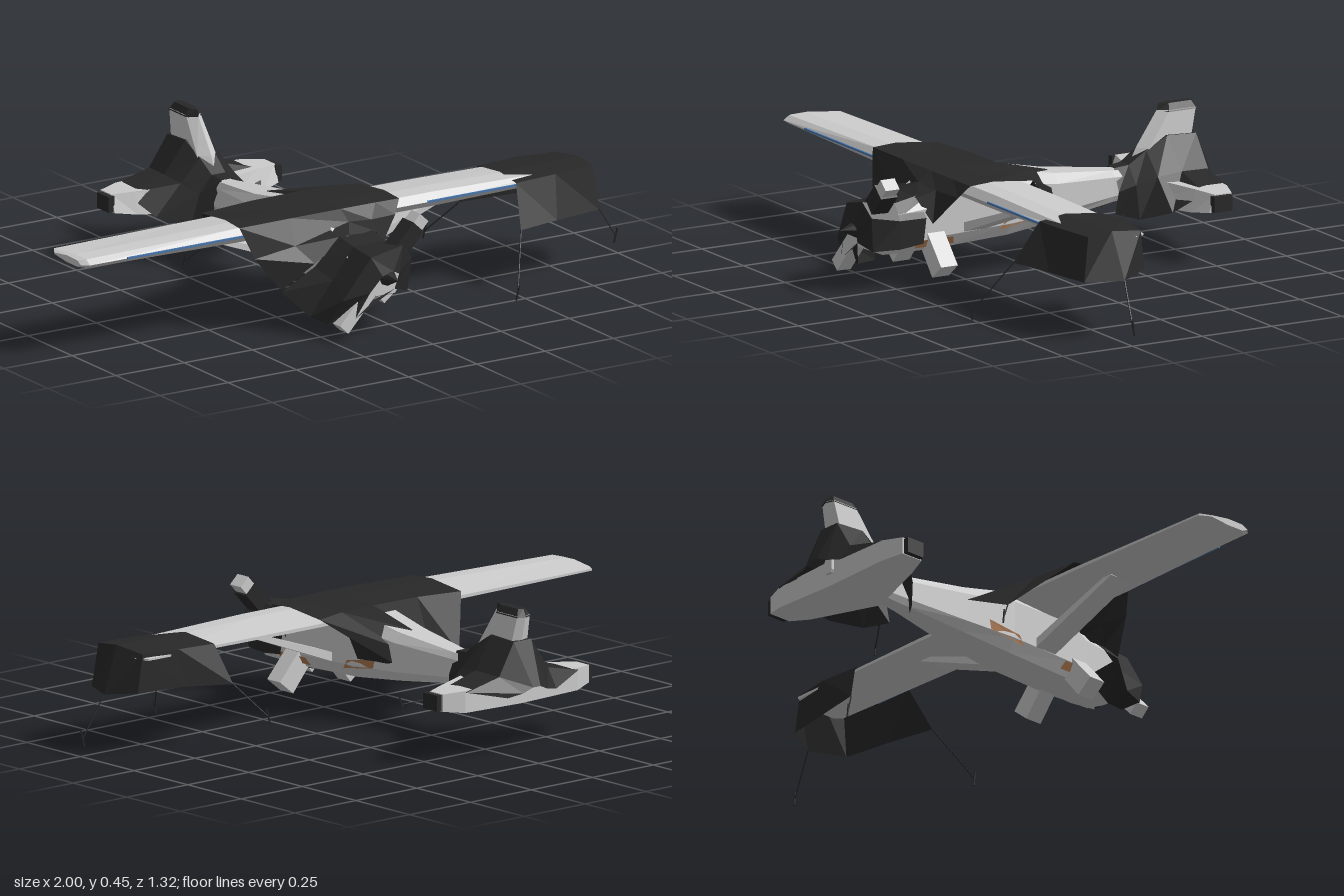
import * as THREE from 'three';

const CX = -0.07; // aircraft centreline
const mat = (color) => new THREE.MeshStandardMaterial({ color, flatShading: true, side: THREE.DoubleSide });

export function createModel() {
  const model = new THREE.Group();
  const grey = mat(0xcccccc), tarp = mat(0x282828), rust = mat(0xb07a50), blue = mat(0x4a78b0);

  const add = (name, geometry, material, x = 0) => {
    const m = new THREE.Mesh(geometry, material);
    m.name = name;
    m.position.x = x;
    model.add(m);
    return m;
  };

  // Surface through rows of [x, y, z] points; closed rows are capped into a solid
  const skin = (rows, closed = false) => {
    const n = rows[0].length, pos = rows.flat(2), idx = [];
    for (let r = 0; r < rows.length - 1; r++) {
      for (let c = 0; c < (closed ? n : n - 1); c++) {
        const a = r * n + c, b = r * n + (c + 1) % n;
        idx.push(a, b, b + n, a, b + n, a + n);
      }
    }
    if (closed) {
      const last = (rows.length - 1) * n;
      for (let c = 1; c < n - 1; c++) idx.push(0, c + 1, c, last, last + c, last + c + 1);
    }
    const g = new THREE.BufferGeometry();
    g.setAttribute('position', new THREE.Float32BufferAttribute(pos, 3));
    g.setIndex(idx);
    const flat = g.toNonIndexed();
    flat.computeVertexNormals();
    return flat;
  };

  // Fuselage: chamfered rectangular sections [z, half width, bottom, top]
  const hull = [
    [0.59, 0.05, 0.13, 0.245], [0.54, 0.08, 0.11, 0.265], [0.4, 0.09, 0.11, 0.28],
    [0.34, 0.09, 0.11, 0.325], [0.1, 0.09, 0.12, 0.325], [-0.08, 0.07, 0.138, 0.29],
    [-0.3, 0.037, 0.165, 0.265], [-0.6, 0.016, 0.19, 0.24],
  ].map(([z, w, b, t]) => {
    const k = w * 0.7, d = (t - b) * 0.2;
    return [[-w, b + d], [-k, b], [k, b], [w, b + d], [w, t - d], [k, t], [-k, t], [-w, t - d]]
      .map(([x, y]) => [x, y, z]);
  });
  add('fuselage', skin(hull, true), grey, CX);

  // Wing: airfoil sections [x, leading z, trailing z, centre y, half thickness]
  const foil = ([x, f, b, y, t]) => [
    [x, y, f], [x, y + t * 0.9, f - 0.02], [x, y + t, f - 0.08], [x, y + t * 0.2, b],
    [x, y - t * 0.2, b], [x, y - t * 0.8, f - 0.08], [x, y - t * 0.8, f - 0.02],
  ];
  add('wing', skin([
    [-0.93, 0.3, 0.15, 0.303, 0.012], [-0.91, 0.32, 0.115, 0.304, 0.016], [-0.36, 0.325, 0.105, 0.305, 0.027],
    [0.36, 0.325, 0.105, 0.305, 0.027], [0.91, 0.32, 0.115, 0.304, 0.016], [0.93, 0.3, 0.15, 0.303, 0.012],
  ].map(foil), true), grey, CX);

  // Paired parts
  for (const s of [1, -1]) {
    const brace = (x, y, z0, z1, t) => [
      [s * x, y - t, z0], [s * x, y - t, z1], [s * x, y + t, z1], [s * x, y + t, z0],
    ];
    add('wingStrut', skin([brace(0.07, 0.165, 0.19, 0.27, 0.015), brace(0.43, 0.295, 0.19, 0.27, 0.008)], true), grey, CX);

    // Landing gear leg
    const leg = (x, y, w) => [
      [s * (x - w), y - w * 0.8, 0.34], [s * (x + w), y + w * 0.8, 0.34],
      [s * (x + w), y + w * 0.8, 0.4], [s * (x - w), y - w * 0.8, 0.4],
    ];
    add('gearLeg', skin([leg(0.05, 0.165, 0.025), leg(0.145, 0.055, 0.027)], true), grey, CX);

    // Tailplane half
    const tail = (x, f, b, lo, hi) => [[s * x, lo, f], [s * x, hi, f - 0.02], [s * x, hi, b], [s * x, lo, b]];
    add('tailplane', skin([
      tail(0, -0.38, -0.59, 0.15, 0.235), tail(0.23, -0.46, -0.59, 0.155, 0.225), tail(0.3, -0.485, -0.565, 0.165, 0.22),
    ], true), grey, CX);
    add('tailplaneTip', new THREE.BoxGeometry(0.022, 0.05, 0.065), tarp, CX + s * 0.307).position.set(CX + s * 0.307, 0.192, -0.525);

    // Painted stripes
    add('wingStripe', new THREE.BoxGeometry(0.45, 0.006, 0.006), blue).position.set(CX + s * 0.55, 0.306, 0.324);
    add('rearStripe', skin([
      [[s * 0.088, 0.145, 0.14], [s * 0.081, 0.165, 0.01]], [[s * 0.092, 0.175, 0.12], [s * 0.084, 0.195, 0.0]],
    ]), rust, CX);
    add('noseStripe', skin([
      [[s * 0.08, 0.123, 0.3], [s * 0.08, 0.123, 0.44]], [[s * 0.094, 0.148, 0.31], [s * 0.093, 0.148, 0.44]],
    ]), rust, CX);
  }

  // Fin
  const finRow = (y, f, b, w) => [[0, y, f], [w, y, f - 0.03], [w, y, b + 0.01], [0, y, b], [-w, y, b + 0.01], [-w, y, f - 0.03]];
  add('fin', skin([finRow(0.2, -0.34, -0.58, 0.035), finRow(0.32, -0.4, -0.585, 0.034),
    finRow(0.43, -0.475, -0.61, 0.026)], true), grey, CX);
  add('finCap', skin([finRow(0.425, -0.473, -0.612, 0.028), finRow(0.45, -0.48, -0.6, 0.014)], true), tarp, CX);

  // Propeller and spinner
  const prop = new THREE.Group();
  prop.name = 'propeller';
  prop.position.set(-0.075, 0.197, 0.565);
  prop.rotation.z = -0.75;
  const blade = (name, len, w, d, y, m) => {
    const b = new THREE.Mesh(new THREE.BoxGeometry(w, len, d), m);
    b.name = name;
    b.position.y = y;
    prop.add(b);
  };
  blade('blades', 0.43, 0.042, 0.05, 0, grey);
  blade('bladeSleeve', 0.14, 0.054, 0.06, 0.11, tarp);
  model.add(prop);
  const spinner = add('spinner', new THREE.ConeGeometry(0.03, 0.06, 8), tarp);
  spinner.rotation.x = Math.PI / 2;
  spinner.position.set(CX, 0.19, 0.63);

  // Cabin cover: rear flap, flat top over the wing, front drape
  add('cabinCover', skin([
    [[-0.29, 0.18, -0.05], [-0.14, 0.24, -0.08], [-0.07, 0.292, -0.082], [-0.02, 0.24, -0.078], [0, 0.195, -0.07]],
    [[-0.43, 0.325, 0.1], [-0.25, 0.335, 0.1], [-0.07, 0.337, 0.1], [0.06, 0.335, 0.1], [0.15, 0.325, 0.1]],
    [[-0.433, 0.34, 0.24], [-0.25, 0.34, 0.24], [-0.07, 0.342, 0.24], [0.06, 0.34, 0.24], [0.15, 0.34, 0.24]],
    [[-0.435, 0.335, 0.325], [-0.25, 0.338, 0.33], [-0.07, 0.34, 0.335], [0.06, 0.338, 0.33], [0.15, 0.335, 0.325]],
    [[-0.395, 0.235, 0.35], [-0.26, 0.26, 0.37], [-0.07, 0.31, 0.38], [0.02, 0.3, 0.37], [0.12, 0.295, 0.35]],
    [[-0.32, 0.13, 0.385], [-0.22, 0.21, 0.42], [-0.1, 0.285, 0.43], [0, 0.28, 0.43], [0.035, 0.2, 0.39]],
  ]), tarp);
  // Tucked side flaps below the wing
  add('cabinSideFlap', skin([
    [[0.15, 0.325, 0.1], [0.06, 0.27, 0.07], [0.03, 0.19, 0.06]], [[0.06, 0.27, 0.02], [0.035, 0.23, 0], [0.01, 0.19, -0.01]],
    [[0, 0.195, -0.07], [0.002, 0.195, -0.065], [0.004, 0.19, -0.05]],
  ]), tarp);

  // Engine cover sagging over the lower blade
  add('engineCover', skin([
    [[-0.32, 0.125, 0.385], [-0.22, 0.2, 0.42], [-0.13, 0.283, 0.42], [-0.01, 0.285, 0.42], [0.03, 0.22, 0.41], [0.03, 0.14, 0.42]],
    [[-0.27, 0.06, 0.47], [-0.2, 0.17, 0.49], [-0.13, 0.27, 0.5], [-0.01, 0.27, 0.5], [0.025, 0.22, 0.5], [0.025, 0.13, 0.5]],
    [[-0.25, 0.05, 0.54], [-0.22, 0.13, 0.58], [-0.13, 0.26, 0.6], [-0.02, 0.285, 0.61], [0.02, 0.24, 0.6], [0.01, 0.13, 0.59]],
    [[-0.18, 0.07, 0.59], [-0.14, 0.15, 0.61], [-0.1, 0.2, 0.62], [-0.06, 0.21, 0.62], [-0.04, 0.2, 0.62], [-0.05, 0.15, 0.61]],
  ]), tarp);
  add('bladeCoverUnderside', skin([
    [[-0.32, 0.125, 0.385], [-0.27, 0.06, 0.47], [-0.25, 0.05, 0.54], [-0.18, 0.07, 0.59]],
    [[-0.15, 0.13, 0.41], [-0.18, 0.05, 0.47], [-0.18, 0.045, 0.53], [-0.05, 0.15, 0.61]],
  ]), tarp);

  // Tail cover: half rows mirrored about the fin
  const tailRows = [
    [[0.045, 0.13, -0.3], [0.05, 0.2, -0.31], [0.02, 0.27, -0.31]],
    [[0.11, 0.12, -0.35], [0.07, 0.22, -0.36], [0.025, 0.275, -0.36]],
    [[0.19, 0.15, -0.42], [0.1, 0.245, -0.42], [0.03, 0.315, -0.42]],
    [[0.25, 0.215, -0.5], [0.11, 0.255, -0.5], [0.038, 0.355, -0.49]],
    [[0.23, 0.22, -0.595], [0.1, 0.25, -0.6], [0.036, 0.35, -0.595]],
    [[0.1, 0.19, -0.64], [0.05, 0.2, -0.655], [0.015, 0.215, -0.662]],
  ];
  add('tailCover', skin(tailRows.map((r) => [
    ...r, ...r.slice().reverse().map(([x, y, z]) => [-x, y, z]),
  ])), tarp, CX);

  // Wing tip cover: open skirt around the wing end
  add('wingTipCover', skin([
    [[0.54, 0.19, 0.06], [0.575, 0.315, 0.11], [0.575, 0.328, 0.24], [0.575, 0.315, 0.33], [0.545, 0.187, 0.405]],
    [[0.7, 0.2, 0.1], [0.72, 0.32, 0.11], [0.72, 0.33, 0.24], [0.72, 0.32, 0.33], [0.7, 0.185, 0.37]],
    [[0.87, 0.2, 0.13], [0.85, 0.32, 0.13], [0.86, 0.333, 0.24], [0.86, 0.325, 0.325], [0.87, 0.185, 0.345]],
  ]), tarp);
  add('wingTipEnd', skin([
    [[0.85, 0.32, 0.13], [0.86, 0.333, 0.24], [0.86, 0.325, 0.325]],
    [[0.87, 0.2, 0.13], [0.92, 0.187, 0.23], [0.87, 0.185, 0.345]],
  ]), tarp);

  // Tie-down ropes with pegs
  const rod = (name, a, b, r) => {
    const p = new THREE.Vector3(...a), d = new THREE.Vector3(...b).sub(p);
    const m = add(name, new THREE.CylinderGeometry(r, r, d.length(), 5), tarp);
    m.position.copy(p).addScaledVector(d, 0.5);
    m.quaternion.setFromUnitVectors(new THREE.Vector3(0, 1, 0), d.normalize());
  };
  [
    [[0.545, 0.187, 0.405], [0.466, 0.025, 0.51]], [[0.92, 0.187, 0.23], [0.995, 0.055, 0.245]],
    [[0.54, 0.19, 0.06], [0.466, 0.09, -0.02]], [[-0.29, 0.18, -0.05], [-0.35, 0.1, -0.12]],
    [[0.01, 0.135, -0.31], [0.11, 0.11, -0.235]],
  ].forEach(([a, [x, y, z]]) => {
    rod('rope', a, [x, y, z], 0.0022);
    rod('peg', [x + 0.004, y + 0.025, z + 0.004], [x - 0.002, y - 0.025, z - 0.006], 0.003);
  });

  return model;
}
